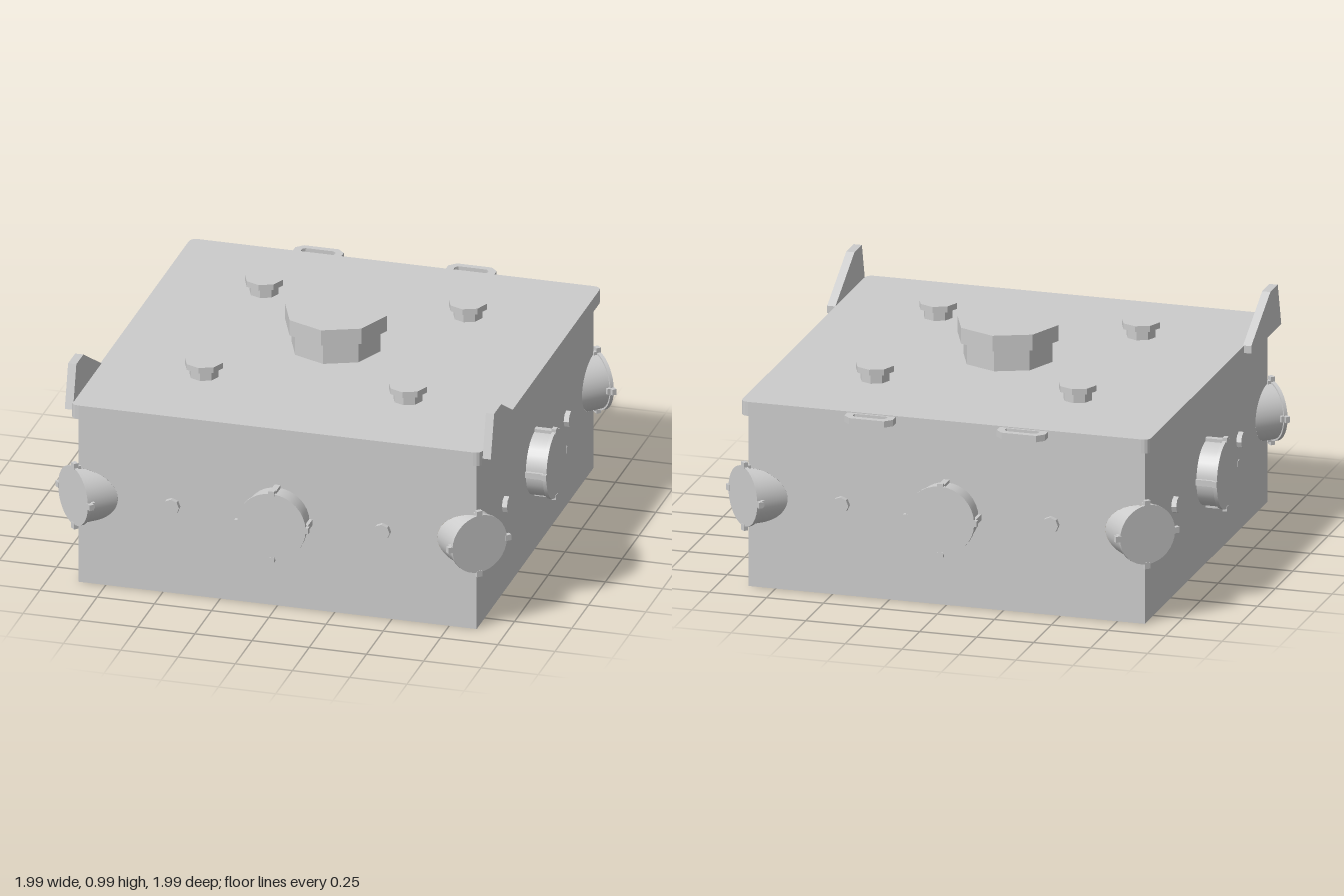
import * as THREE from 'three';

const mat = new THREE.MeshStandardMaterial({ color: 0xcccccc, side: THREE.DoubleSide });
const flat = new THREE.MeshStandardMaterial({ color: 0xcccccc, side: THREE.DoubleSide, flatShading: true });
const HALF = 0.87, PORT_Y = 0.4, PORT_R = 0.14, CORNER_R = 0.122, BOLT_R = 0.036;
const LID_LOW = 0.758, LID_TOP = 0.82;

function add(parent, name, geometry, material = mat) {
  const mesh = new THREE.Mesh(geometry, material);
  mesh.name = name;
  parent.add(mesh);
  return mesh;
}

function circleHole(x, y, r, sides = 32) {
  const pts = [];
  for (let i = 0; i < sides; i++) {
    const a = (i / sides) * Math.PI * 2;
    pts.push(new THREE.Vector2(x + r * Math.cos(a), y + r * Math.sin(a)));
  }
  return new THREE.Path(pts);
}

// Wall panel with round port holes and half-ellipse bites where the corner ports pass through
function wallGeometry() {
  const s = new THREE.Shape();
  const rx = CORNER_R * Math.SQRT2, q = Math.PI / 2;
  s.moveTo(-HALF, 0);
  s.lineTo(HALF, 0);
  s.lineTo(HALF, PORT_Y - CORNER_R);
  s.absellipse(HALF, PORT_Y, rx, CORNER_R, -q, q, true);
  s.lineTo(HALF, LID_LOW + 0.01);
  s.lineTo(-HALF, LID_LOW + 0.01);
  s.lineTo(-HALF, PORT_Y + CORNER_R);
  s.absellipse(-HALF, PORT_Y, rx, CORNER_R, q, -q, true);
  s.lineTo(-HALF, 0);
  s.holes.push(circleHole(0, PORT_Y, PORT_R));
  for (const x of [-0.46, 0.46]) s.holes.push(circleHole(x, PORT_Y, BOLT_R, 8));
  return new THREE.ShapeGeometry(s, 24);
}

// Capped pipe along +z; open on the inner side
function port(name, r, capR, tabR, inner, outer, corner = false) {
  const g = new THREE.Group();
  g.name = name;
  const barrel = new THREE.CylinderGeometry(r, r, outer - inner, 32, 1, true)
    .rotateX(Math.PI / 2).translate(0, 0, (inner + outer) / 2);
  if (corner) {
    // trim the inner end to the two walls meeting at the corner
    const p = barrel.attributes.position;
    for (let i = 0; i < p.count; i++) {
      if (p.getZ(i) < (inner + outer) / 2) p.setZ(i, HALF * Math.SQRT2 - Math.abs(p.getX(i)));
    }
  }
  add(g, 'portBarrel', barrel);
  const cap = add(g, 'portCap', new THREE.CylinderGeometry(capR, capR, 0.016, 32).rotateX(Math.PI / 2));
  cap.position.z = outer;
  // four clamps around the rim
  for (let i = 0; i < 4; i++) {
    const clamp = new THREE.Group();
    clamp.name = 'portClamp';
    clamp.rotation.z = (i * Math.PI) / 2;
    const len = corner ? 0.024 : outer - HALF;
    add(clamp, 'clampBar', new THREE.BoxGeometry(0.026, 0.015, len))
      .position.set(0, r + 0.0055, outer - len / 2);
    add(clamp, 'clampHead', new THREE.BoxGeometry(0.026, tabR - r, 0.02))
      .position.set(0, (tabR + r) / 2, outer);
    g.add(clamp);
  }
  g.position.y = PORT_Y;
  return g;
}

// Octagonal filler neck with an overhanging cap
function neck(name, x, z, stemR, capR, capLow, top) {
  const g = new THREE.Group();
  g.name = name;
  g.position.set(x, 0, z);
  add(g, 'neckStem', new THREE.CylinderGeometry(stemR, stemR, capLow - LID_TOP, 8, 1, true), flat)
    .position.y = (capLow + LID_TOP) / 2;
  add(g, 'neckCap', new THREE.CylinderGeometry(capR, capR, top - capLow, 8), flat)
    .position.y = (top + capLow) / 2;
  return g;
}

export function createModel() {
  const model = new THREE.Group();
  model.name = 'portedTank';

  // Four walls, each with a main port, two bolts and one corner port
  const wall = wallGeometry();
  for (let k = 0; k < 4; k++) {
    const side = new THREE.Group();
    side.name = 'side';
    side.rotation.y = (k * Math.PI) / 2;
    add(side, 'wall', wall).position.z = HALF;
    side.add(port('sidePort', PORT_R, 0.15, 0.162, HALF, 0.955));
    for (const x of [-0.46, 0.46]) {
      add(side, 'wallBolt', new THREE.CylinderGeometry(BOLT_R, BOLT_R, 0.022, 8, 1, true)
        .rotateY(Math.PI / 2).rotateX(Math.PI / 2), flat).position.set(x, PORT_Y, HALF + 0.011);
      add(side, 'wallBoltCap', new THREE.CircleGeometry(BOLT_R, 8)).position.set(x, PORT_Y, HALF + 0.022);
    }
    const cornerPort = port('cornerPort', CORNER_R, 0.13, 0.15, 1.1, 1.248, true);
    cornerPort.rotation.y = Math.PI / 4;
    side.add(cornerPort);
    model.add(side);
  }

  // Lid slab with rounded corners, pierced under every neck
  const e = 0.897, c = 0.035, lid = new THREE.Shape();
  lid.moveTo(-e + c, -e);
  lid.lineTo(e - c, -e);
  lid.quadraticCurveTo(e, -e, e, -e + c);
  lid.lineTo(e, e - c);
  lid.quadraticCurveTo(e, e, e - c, e);
  lid.lineTo(-e + c, e);
  lid.quadraticCurveTo(-e, e, -e, e - c);
  lid.lineTo(-e, -e + c);
  lid.quadraticCurveTo(-e, -e, -e + c, -e);
  lid.holes.push(circleHole(0, 0, 0.195, 8));
  model.add(neck('centreNeck', 0, 0, 0.195, 0.222, 0.915, 0.985));
  for (const x of [-0.445, 0.445]) {
    for (const z of [-0.447, 0.447]) {
      lid.holes.push(circleHole(x, -z, 0.063, 8));
      model.add(neck('smallNeck', x, z, 0.063, 0.083, 0.862, 0.888));
    }
  }
  add(model, 'lid', new THREE.ExtrudeGeometry(lid, { depth: LID_TOP - LID_LOW, bevelEnabled: false, curveSegments: 4 })
    .rotateX(-Math.PI / 2)).position.y = LID_LOW;

  // Side fins at the front corners of the lid
  const fin = new THREE.Shape([[0.875, 0.787], [0.825, 0.975], [0.72, 0.975], [0.45, 0.82], [0.45, 0.787]]
    .map(([z, y]) => new THREE.Vector2(-z, y)));
  const finGeometry = new THREE.ExtrudeGeometry(fin, { depth: 0.036, bevelEnabled: false })
    .translate(0, 0, -0.018).rotateY(Math.PI / 2);
  for (const x of [-0.91, 0.915]) add(model, 'fin', finGeometry).position.x = x;

  // Slotted handles on the back edge of the lid
  const outline = (w, low, high, cut) => [[-w, low], [w, low], [w, high - cut], [w - cut, high], [-w + cut, high], [-w, high - cut]]
    .map(([x, y]) => new THREE.Vector2(x, y));
  const handle = new THREE.Shape(outline(0.106, 0.88, 0.97, 0.03));
  handle.holes.push(new THREE.Path(outline(0.073, 0.907, 0.943, 0.012)));
  const handleGeometry = new THREE.ExtrudeGeometry(handle, { depth: 0.028, bevelEnabled: false }).rotateX(-Math.PI / 2);
  for (const x of [-0.348, 0.32]) add(model, 'handle', handleGeometry).position.set(x, 0.788, 0);

  return model;
}
